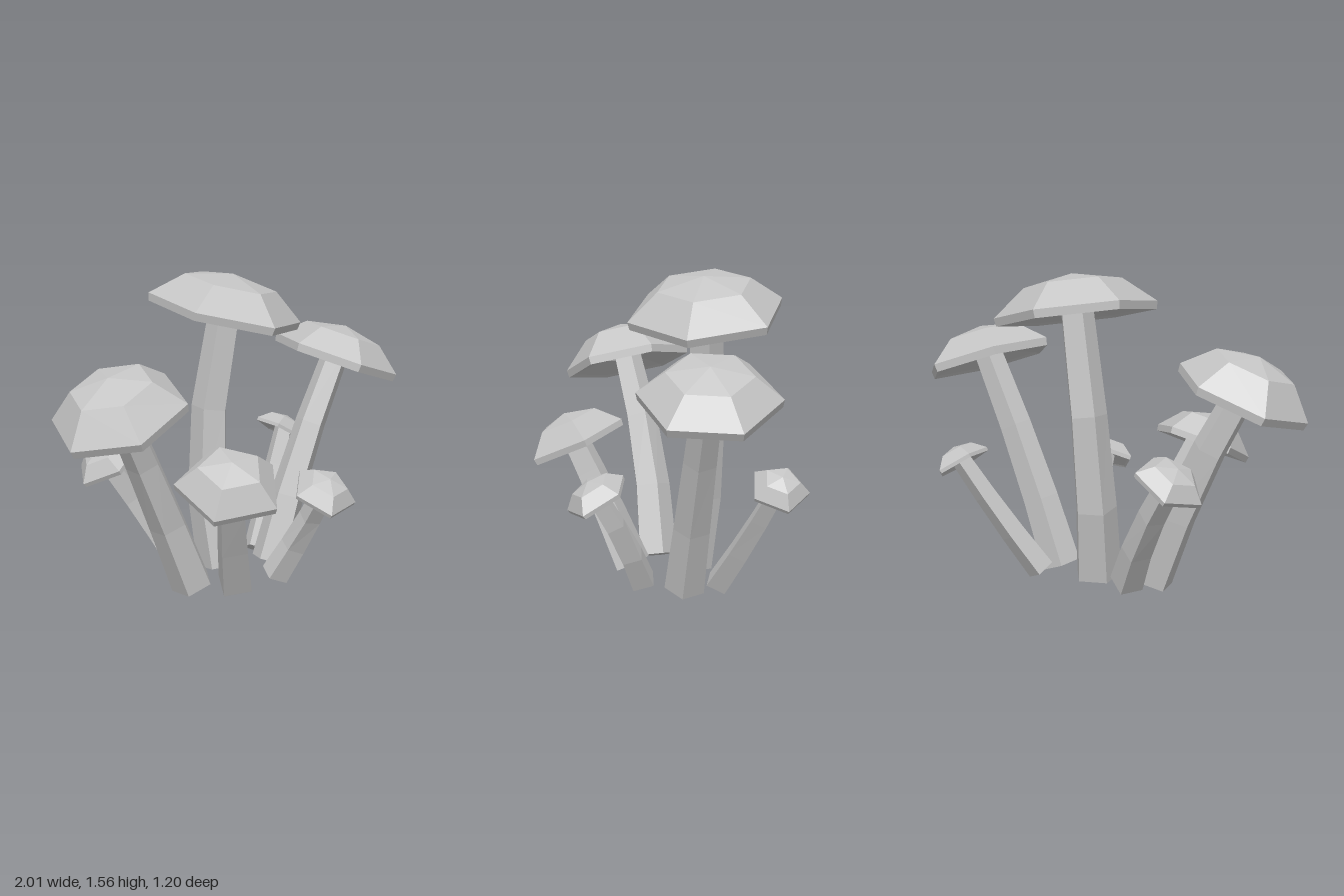
import * as THREE from 'three';

const UP = new THREE.Vector3(0, 1, 0);

// Faceted cap: shallow dome with a thin rim and a recess underneath for the stem.
function makeCap(R, height, sides, phase) {
  const t = Math.min(0.042, R * 0.13);
  const profile = [
    [0, height * 0.42], [R * 0.24, height * 0.42], [R * 0.34, t * 0.8], [R * 0.9, -t * 0.1],
    [R * 0.98, -t * 0.35], [R, t * 0.6], [R * 0.6, height * 0.77], [0, height],
  ].map(([r, y]) => new THREE.Vector2(r, y));
  return new THREE.LatheGeometry(profile, sides, phase, Math.PI * 2);
}

// Faceted stem: a tapering cylinder whose rings follow a bent path.
function makeStem(curve, radius, sides, phase) {
  const steps = 3;
  const geo = new THREE.CylinderGeometry(radius * 0.7, radius, 1, sides, steps, false, phase);
  const pos = geo.attributes.position;
  const v = new THREE.Vector3();
  const turn = new THREE.Quaternion();
  for (let i = 0; i < pos.count; i++) {
    v.fromBufferAttribute(pos, i);
    const t = Math.round((v.y + 0.5) * steps) / steps;
    v.y = 0;
    turn.setFromUnitVectors(UP, curve.getTangent(t));
    v.applyQuaternion(turn).add(curve.getPoint(t));
    pos.setXYZ(i, v.x, v.y, v.z);
  }
  geo.computeVertexNormals();
  return geo;
}

export function createModel() {
  const grey = new THREE.MeshStandardMaterial({ color: 0xc4c4c4, flatShading: true });
  grey.name = 'plain grey';
  const model = new THREE.Group();
  model.name = 'mushroomCluster';

  // slope is the rise of the cap rim along x and z; the stem bends from base through mid to the cap
  function addMushroom(name, cap, stem) {
    const group = new THREE.Group();
    group.name = name;
    const normal = new THREE.Vector3(-cap.slope[0], 1, -cap.slope[1]).normalize();

    const capMesh = new THREE.Mesh(makeCap(cap.radius, cap.height, cap.sides, cap.phase), grey);
    capMesh.name = 'cap';
    capMesh.position.set(...cap.at);
    capMesh.quaternion.setFromUnitVectors(UP, normal);

    const top = capMesh.position.clone().addScaledVector(normal, cap.height * 0.45);
    const curve = new THREE.CatmullRomCurve3(
      [new THREE.Vector3(...stem.base), new THREE.Vector3(...stem.mid), top]);
    const stemMesh = new THREE.Mesh(makeStem(curve, stem.radius, cap.sides - 1, stem.phase), grey);
    stemMesh.name = 'stem';

    group.add(stemMesh, capMesh);
    model.add(group);
  }

  // Three large mushrooms
  addMushroom('centreMushroom',
    { at: [0.08, 1.37, -0.205], slope: [-0.19, -0.12], radius: 0.395, height: 0.2, sides: 6, phase: 0 },
    { base: [0, 0.065, -0.145], mid: [-0.02, 0.62, -0.232], radius: 0.12, phase: 0.25 });
  addMushroom('rightEndMushroom',
    { at: [-0.695, 1.0, 0], slope: [0.4, -0.11], radius: 0.335, height: 0.215, sides: 6, phase: -0.33 },
    { base: [-0.255, 0.045, -0.045], mid: [-0.465, 0.56, -0.05], radius: 0.108, phase: 0.4 });
  addMushroom('leftEndMushroom',
    { at: [0.685, 1.08, -0.04], slope: [-0.36, -0.1], radius: 0.335, height: 0.18, sides: 6, phase: -0.36 },
    { base: [0.265, 0.05, -0.05], mid: [0.445, 0.56, -0.05], radius: 0.103, phase: 1.2 });

  // Four small mushrooms
  addMushroom('frontRightMushroom',
    { at: [-0.335, 0.665, 0.36], slope: [0.22, -0.4], radius: 0.262, height: 0.165, sides: 5, phase: 0.33 },
    { base: [-0.11, 0.06, 0.12], mid: [-0.24, 0.42, 0.255], radius: 0.1, phase: 0.3 });
  addMushroom('frontLeftMushroom',
    { at: [0.24, 0.53, 0.378], slope: [0, -0.6], radius: 0.167, height: 0.1, sides: 5, phase: 0.85 },
    { base: [0.14, 0.05, 0.13], mid: [0.22, 0.29, 0.24], radius: 0.075, phase: 0.5 });
  addMushroom('backLeftMushroom',
    { at: [0.625, 0.62, -0.4], slope: [-0.65, 0], radius: 0.145, height: 0.09, sides: 5, phase: 0.35 },
    { base: [0.29, 0.06, -0.21], mid: [0.47, 0.35, -0.31], radius: 0.07, phase: 0.4 });
  addMushroom('backRightMushroom',
    { at: [-0.508, 0.645, -0.4], slope: [0.6, 0.12], radius: 0.178, height: 0.1, sides: 5, phase: 1.0 },
    { base: [-0.19, 0.06, -0.2], mid: [-0.33, 0.35, -0.31], radius: 0.085, phase: 0.2 });

  return model;
}
